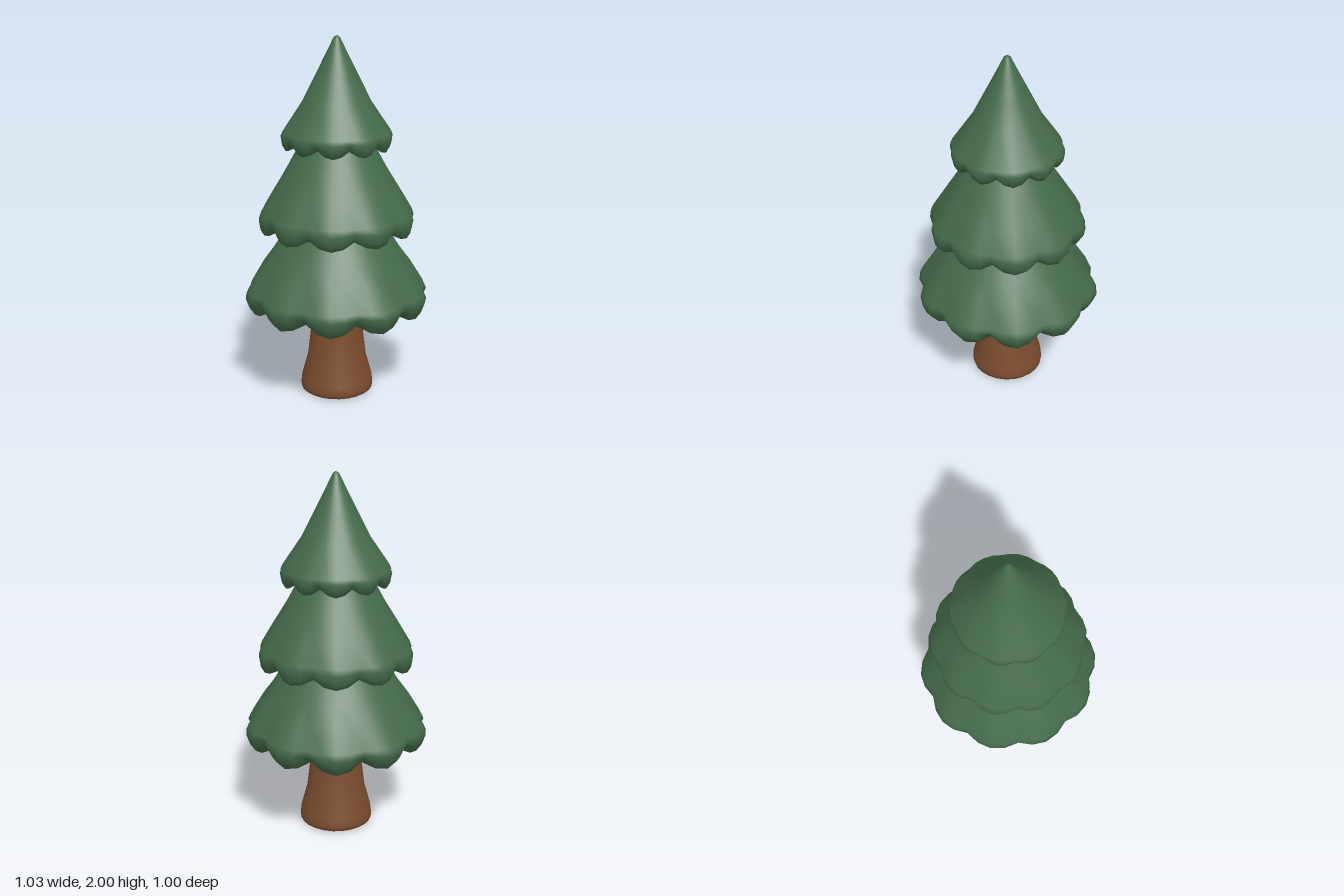
import * as THREE from 'three';
import { mergeVertices } from 'three/addons/utils/BufferGeometryUtils.js';

const LOBES = 10;

// Lathe a profile, then scallop it. Each row: [radius, y, notch indent, notch lift]
function scallopedLathe(rows, segments) {
  const points = rows.map(([r, y]) => new THREE.Vector2(r, y));
  let geo = new THREE.LatheGeometry(points, segments);
  const pos = geo.attributes.position;
  for (let i = 0; i < pos.count; i++) {
    const [r, y, indent = 0, lift = 0] = rows[i % rows.length];
    const angle = Math.floor(i / rows.length) * Math.PI * 2 / segments;
    const notch = 1 - Math.abs(Math.sin(angle * LOBES / 2));
    const radius = r - indent * notch;
    pos.setXYZ(i, radius * Math.sin(angle), y + lift * notch, radius * Math.cos(angle));
  }
  // weld the seam for smooth shading all round
  geo.deleteAttribute('uv');
  geo.deleteAttribute('normal');
  geo = mergeVertices(geo, 1e-5);
  geo.computeVertexNormals();
  return geo;
}

export function createModel() {
  const green = new THREE.MeshStandardMaterial({ color: 0x446b4a });
  green.name = 'needle green';
  const brown = new THREE.MeshStandardMaterial({ color: 0x7b4c2e });
  brown.name = 'bark brown';

  const tree = new THREE.Group();
  tree.name = 'pineTree';
  const add = (name, rows, segments, material) => {
    const mesh = new THREE.Mesh(scallopedLathe(rows, segments), material);
    mesh.name = name;
    tree.add(mesh);
  };

  // Flared trunk with a softly rounded foot
  add('trunk', [
    [0, 0], [0.185, 0], [0.2, 0.01], [0.204, 0.03], [0.2, 0.07], [0.165, 0.2],
    [0.147, 0.35], [0.133, 0.5], [0.125, 0.65],
  ], 24, brown);

  // Foliage tiers, each from the hollow underside, around the rim and up the slope
  add('lowerFoliage', [
    [0.08, 0.6], [0.25, 0.55, 0, 0.03], [0.42, 0.495, 0.03, 0.055],
    [0.465, 0.478, 0.035, 0.055], [0.495, 0.52, 0.04, 0.045], [0.515, 0.575, 0.035, 0.015],
    [0.5, 0.61, 0.03], [0.425, 0.73, 0.012], [0.35, 0.83], [0.27, 0.96], [0.2, 1.06], [0, 1.1],
  ], LOBES * 4, green);
  add('middleFoliage', [
    [0.12, 1.04], [0.25, 1.0, 0, 0.02], [0.37, 0.945, 0.02, 0.045],
    [0.405, 0.932, 0.025, 0.045], [0.425, 0.965, 0.03, 0.035], [0.433, 1.015, 0.028, 0.01],
    [0.42, 1.05, 0.02], [0.355, 1.155, 0.008], [0.27, 1.29], [0.2, 1.42], [0.14, 1.52], [0, 1.56],
  ], LOBES * 4, green);
  add('upperFoliage', [
    [0.08, 1.48], [0.18, 1.45, 0, 0.015], [0.25, 1.402, 0.012, 0.038],
    [0.28, 1.392, 0.015, 0.038], [0.3, 1.425, 0.015, 0.028], [0.306, 1.465, 0.012, 0.008],
    [0.295, 1.49, 0.008], [0.185, 1.65], [0.115, 1.79], [0.05, 1.92], [0.018, 1.987], [0, 2.0],
  ], LOBES * 4, green);

  return tree;
}
